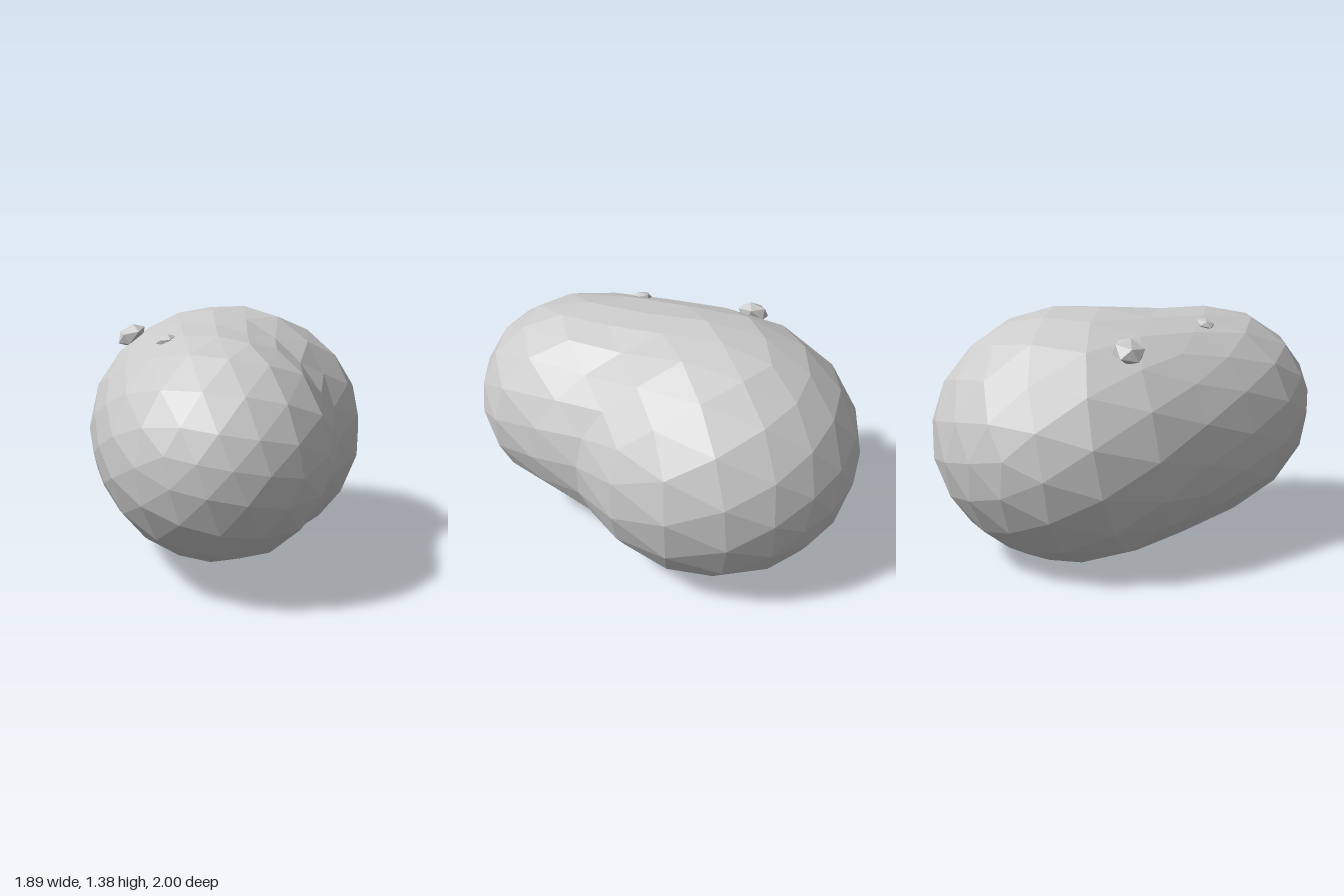
import * as THREE from 'three';

const material = new THREE.MeshStandardMaterial({ color: 0xcccccc, flatShading: true });

// Two overlapping lobes: centre, horizontal radius and vertical radius
const bigLobe = { c: new THREE.Vector3(-0.165, 0.697, -0.222), r: 0.783, ry: 0.698 };
const smallLobe = { c: new THREE.Vector3(0.38, 0.765, 0.43), r: 0.57, ry: 0.565 };
const axis = smallLobe.c.clone().sub(bigLobe.c).normalize();
const waistSide = new THREE.Vector3(axis.z, 0, -axis.x); // side with the deeper waist

const lobeDistance = (p, { c, r, ry }) =>
  Math.hypot(p.x - c.x, (p.y - c.y) * r / ry, p.z - c.z) - r;

// Distance-like field of the blended lobes (negative inside); the blend is tighter on the waist side
function field(p) {
  const a = lobeDistance(p, bigLobe);
  const b = lobeDistance(p, smallLobe);
  const side = p.clone().sub(bigLobe.c).dot(waistSide);
  const blend = 0.43 - 0.2 * THREE.MathUtils.clamp(side / 0.6, -0.7, 1);
  const h = Math.max(blend - Math.abs(a - b), 0);
  return Math.min(a, b) - h * h / (4 * blend);
}

// Faceted sphere, stretched between the lobe centres, with vertices pushed out to the blended surface
function boulderGeometry() {
  const geo = new THREE.IcosahedronGeometry(1, 3);
  geo.rotateX(0.45).rotateY(0.25).rotateZ(0.2);
  const pos = geo.attributes.position;
  const start = new THREE.Vector3();
  const dir = new THREE.Vector3();
  const p = new THREE.Vector3();
  for (let i = 0; i < pos.count; i++) {
    dir.fromBufferAttribute(pos, i).normalize();
    const along = THREE.MathUtils.clamp((dir.dot(axis) + 1) / 2, 0, 1);
    start.lerpVectors(bigLobe.c, smallLobe.c, along ** 1.4);
    let near = 0, far = 2;
    for (let k = 0; k < 30; k++) {
      const mid = (near + far) / 2;
      p.copy(start).addScaledVector(dir, mid);
      if (field(p) < 0) near = mid; else far = mid;
    }
    pos.setXYZ(i, p.x, p.y, p.z);
  }
  geo.computeVertexNormals();
  return geo;
}

// Small angular stone resting in the surface
function addPebble(group, name, position, scale, rotation) {
  const pebble = new THREE.Mesh(new THREE.IcosahedronGeometry(1, 0), material);
  pebble.name = name;
  pebble.position.set(...position);
  pebble.scale.set(...scale);
  pebble.rotation.set(...rotation);
  group.add(pebble);
}

export function createModel() {
  const group = new THREE.Group();
  group.name = 'boulder';

  const body = new THREE.Mesh(boulderGeometry(), material);
  body.name = 'boulderBody';
  group.add(body);

  addPebble(group, 'largePebble', [-0.545, 1.235, 0.155], [0.088, 0.058, 0.09], [0.2, 0.4, 0.45]);
  addPebble(group, 'smallPebble', [0, 1.297, 0.455], [0.052, 0.026, 0.056], [0.25, 0.3, 0.2]);
  return group;
}
